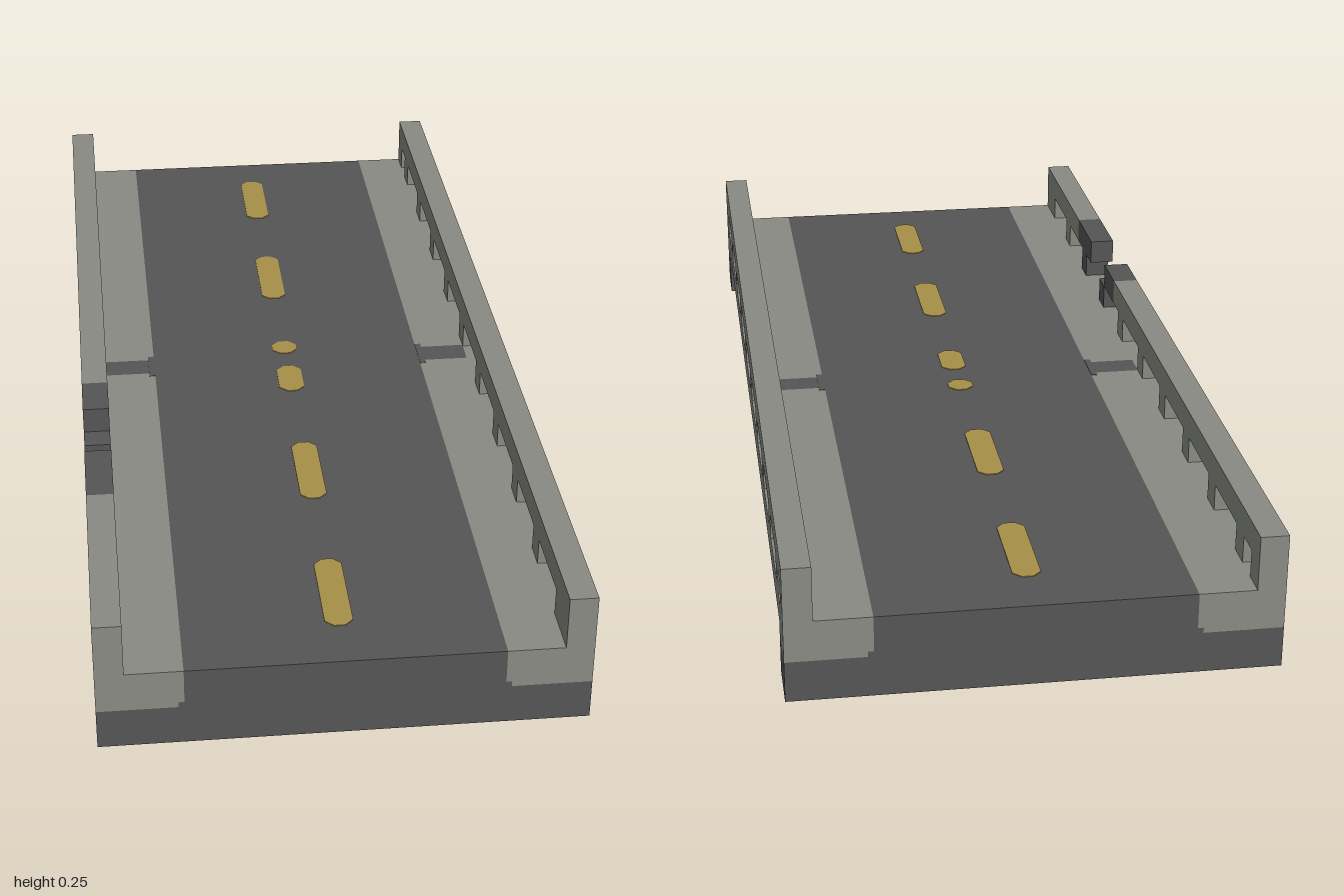
import * as THREE from 'three';

const concrete = new THREE.MeshStandardMaterial({ color: 0x898b83 });
concrete.name = 'concrete';
const asphalt = new THREE.MeshStandardMaterial({ color: 0x555555 });
asphalt.name = 'asphalt';
const yellow = new THREE.MeshStandardMaterial({ color: 0xa89048 });
yellow.name = 'lane yellow';

// Box given by its limits on each axis
function block(parent, name, material, [x0, x1], [y0, y1], [z0, z1]) {
  const mesh = new THREE.Mesh(new THREE.BoxGeometry(x1 - x0, y1 - y0, z1 - z0), material);
  mesh.position.set((x0 + x1) / 2, (y0 + y1) / 2, (z0 + z1) / 2);
  mesh.name = name;
  parent.add(mesh);
  return mesh;
}

// Polygon in x,y extruded along z
function prism(parent, name, material, points, z0, z1) {
  const shape = new THREE.Shape(points.map(([x, y]) => new THREE.Vector2(x, y)));
  const geometry = new THREE.ExtrudeGeometry(shape, { depth: z1 - z0, bevelEnabled: false });
  const mesh = new THREE.Mesh(geometry, material);
  mesh.position.z = z0;
  mesh.name = name;
  parent.add(mesh);
  return mesh;
}

// Pierced parapet; the damaged one has a gap in its top bar
function makeRail(side, damaged) {
  const rail = new THREE.Group();
  rail.name = damaged ? 'brokenRail' : 'rail';
  const x = side > 0 ? [0.375, 0.425] : [-0.425, -0.375];
  const low = [0.1, 0.15], mid = [0.15, 0.2], top = [0.2, 0.25];

  if (damaged) {
    block(rail, 'topBar', concrete, x, top, [-1, 0.2]);
    block(rail, 'brokenBarEnd', asphalt, x, top, [0.2, 0.3]);
    block(rail, 'brokenBarEnd', asphalt, x, top, [0.45, 0.6]);
    block(rail, 'topBar', concrete, x, top, [0.6, 1]);
    block(rail, 'bottomBar', concrete, x, low, [-1, 0.35]);
    block(rail, 'chippedBar', concrete, [-0.4, -0.375], low, [0.35, 0.45]);
    block(rail, 'bottomBar', concrete, x, low, [0.45, 1]);
  } else {
    block(rail, 'topBar', concrete, x, top, [-1, 1]);
    block(rail, 'bottomBar', concrete, x, low, [-1, 1]);
  }

  // Posts between the openings
  for (let k = 0; k < 9; k++) {
    const z = -0.9 + 0.2 * k;
    const dark = damaged && (k === 6 || k === 7);
    block(rail, 'post', dark ? asphalt : concrete, x, mid, [z, z + 0.05]);
  }
  block(rail, 'endPost', concrete, x, mid, [-1, -0.95]);
  block(rail, 'endPost', concrete, x, mid, [0.9, 1]);

  // Feet of the rail on the end beams
  for (const z of [[-1, -0.9], [0.9, 1]]) block(rail, 'railFoot', concrete, x, [0.075, 0.1], z);
  return rail;
}

// Thin lane dash with clipped corners
function makeDash(parent, z0, z1, y) {
  const w = 0.025, c = 0.015;
  const points = [
    [-w + c, -z1], [w - c, -z1], [w, -z1 + c], [w, -z0 - c],
    [w - c, -z0], [-w + c, -z0], [-w, -z0 - c], [-w, -z1 + c],
  ];
  const dash = prism(parent, 'laneDash', yellow, points, 0, 0.002);
  dash.rotation.x = -Math.PI / 2;
  dash.position.y = y;
}

export function createModel() {
  const model = new THREE.Group();
  model.name = 'bridgeSection';

  // Road deck
  const deck = new THREE.Group();
  deck.name = 'deck';
  model.add(deck);
  const slab = [0.1, 0.15];
  block(deck, 'roadway', asphalt, [-0.275, 0.275], slab, [-0.9, 0.9]);
  for (const s of [-1, 1]) {
    const x = s > 0 ? [0.275, 0.375] : [-0.375, -0.275];
    block(deck, 'sidewalk', concrete, x, slab, [-0.9, -0.055]);
    block(deck, 'expansionJoint', asphalt, x, slab, [-0.055, 0]);
    block(deck, 'sidewalk', concrete, x, slab, [0, 0.9]);
    // Flare where the joint meets the road
    const flare = s > 0 ? [0.275, 0.287] : [-0.287, -0.275];
    block(deck, 'jointFlare', asphalt, flare, [0.149, 0.151], [-0.067, 0.012]);
  }

  // Lane markings on both faces of the slab
  const dashes = [[-0.9, -0.7], [-0.5, -0.3], [-0.105, -0.055], [0, 0.1], [0.3, 0.5], [0.7, 0.9]];
  for (const [z0, z1] of dashes) {
    makeDash(deck, z0, z1, 0.1495);
    makeDash(deck, z0, z1, 0.0985);
  }

  // End beams: dark body with pale stepped corners
  for (const z0 of [-1, 0.9]) {
    const beam = new THREE.Group();
    beam.name = 'endBeam';
    model.add(beam);
    prism(beam, 'beamBody', asphalt, [
      [-0.425, 0], [0.425, 0], [0.425, 0.075], [0.285, 0.075], [0.285, 0.085], [0.275, 0.085], [0.275, 0.15],
      [-0.275, 0.15], [-0.275, 0.085], [-0.285, 0.085], [-0.285, 0.075], [-0.425, 0.075],
    ], z0, z0 + 0.1);
    const corner = [[0.285, 0.075], [0.375, 0.075], [0.375, 0.15], [0.275, 0.15], [0.275, 0.085], [0.285, 0.085]];
    prism(beam, 'beamCorner', concrete, corner, z0, z0 + 0.1);
    prism(beam, 'beamCorner', concrete, corner.map(([x, y]) => [-x, y]), z0, z0 + 0.1);
  }

  // Middle cross beam on two feet
  const support = new THREE.Group();
  support.name = 'middleSupport';
  model.add(support);
  const z = [-0.05, 0.05];
  block(support, 'crossBeam', asphalt, [-0.275, 0.275], [0.06, 0.1], z);
  block(support, 'crossBeamBase', asphalt, [-0.375, 0.375], [0.05, 0.06], z);
  block(support, 'crossBeamEnd', concrete, [0.275, 0.375], [0.06, 0.1], z);
  block(support, 'crossBeamEnd', concrete, [-0.375, -0.275], [0.06, 0.1], z);
  block(support, 'foot', asphalt, [0.175, 0.275], [0, 0.05], z);
  block(support, 'foot', asphalt, [-0.275, -0.175], [0, 0.05], z);

  // Side rails
  model.add(makeRail(1, false), makeRail(-1, true));
  return model;
}
